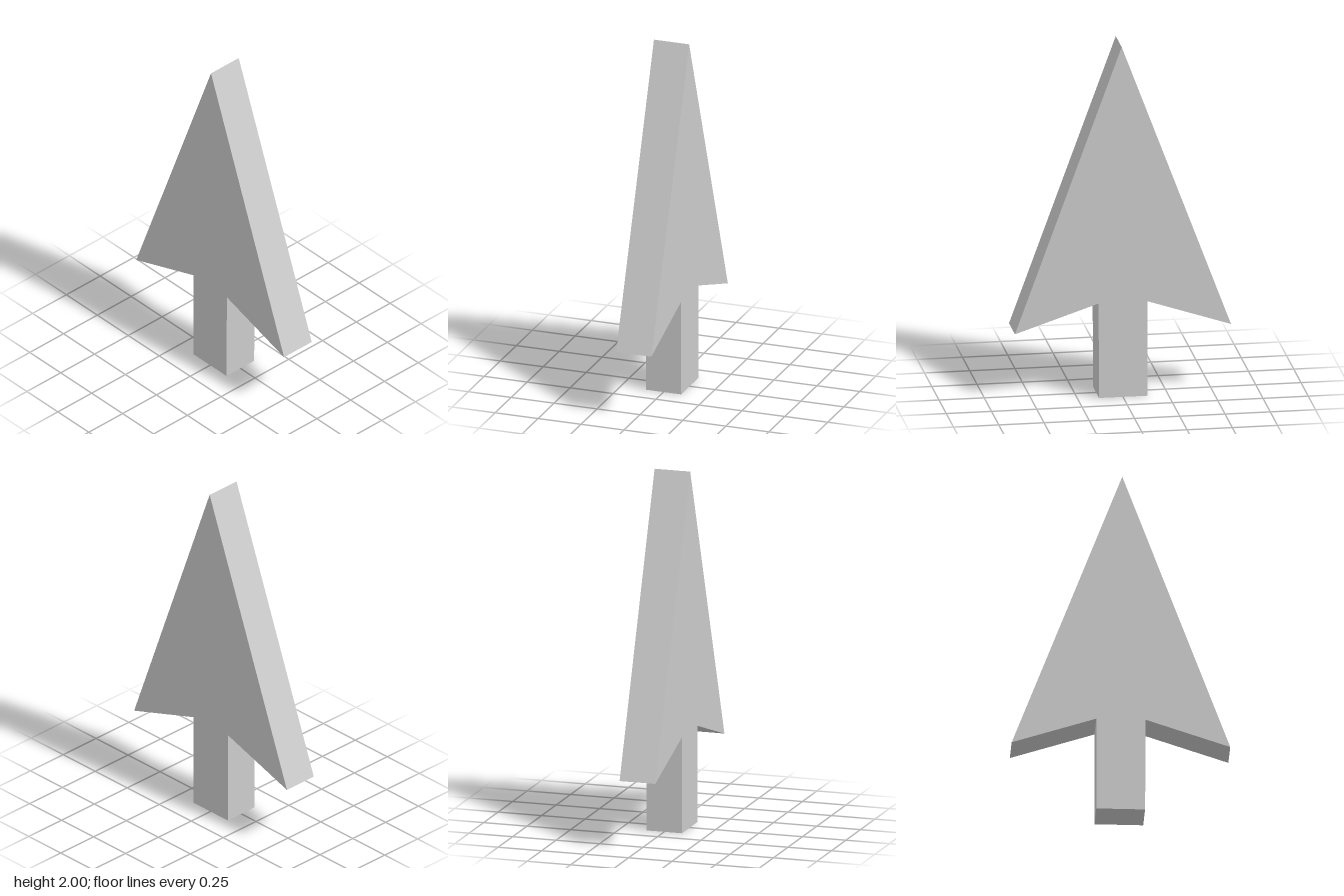
import * as THREE from 'three';

// Flat upright arrow: a side outline (z, y) extruded across x.
export function createModel() {
  const group = new THREE.Group();
  group.name = 'arrow';

  const thickness = 0.205;
  const outline = new THREE.Shape([
    [-0.135, 0], [0.132, 0], [0.135, 0.54],   // stem
    [0.597, 0.387], [0.007, 2], [-0.597, 0.387], // barbs and tip
    [-0.135, 0.54],
  ].map(([z, y]) => new THREE.Vector2(z, y)));

  const geometry = new THREE.ExtrudeGeometry(outline, { depth: thickness, bevelEnabled: false });
  geometry.translate(0, 0, -thickness / 2);
  geometry.rotateY(-Math.PI / 2); // outline x becomes z

  const body = new THREE.Mesh(
    geometry,
    new THREE.MeshStandardMaterial({ color: 0xcccccc, flatShading: true }),
  );
  body.name = 'arrowBody';
  group.add(body);
  return group;
}
